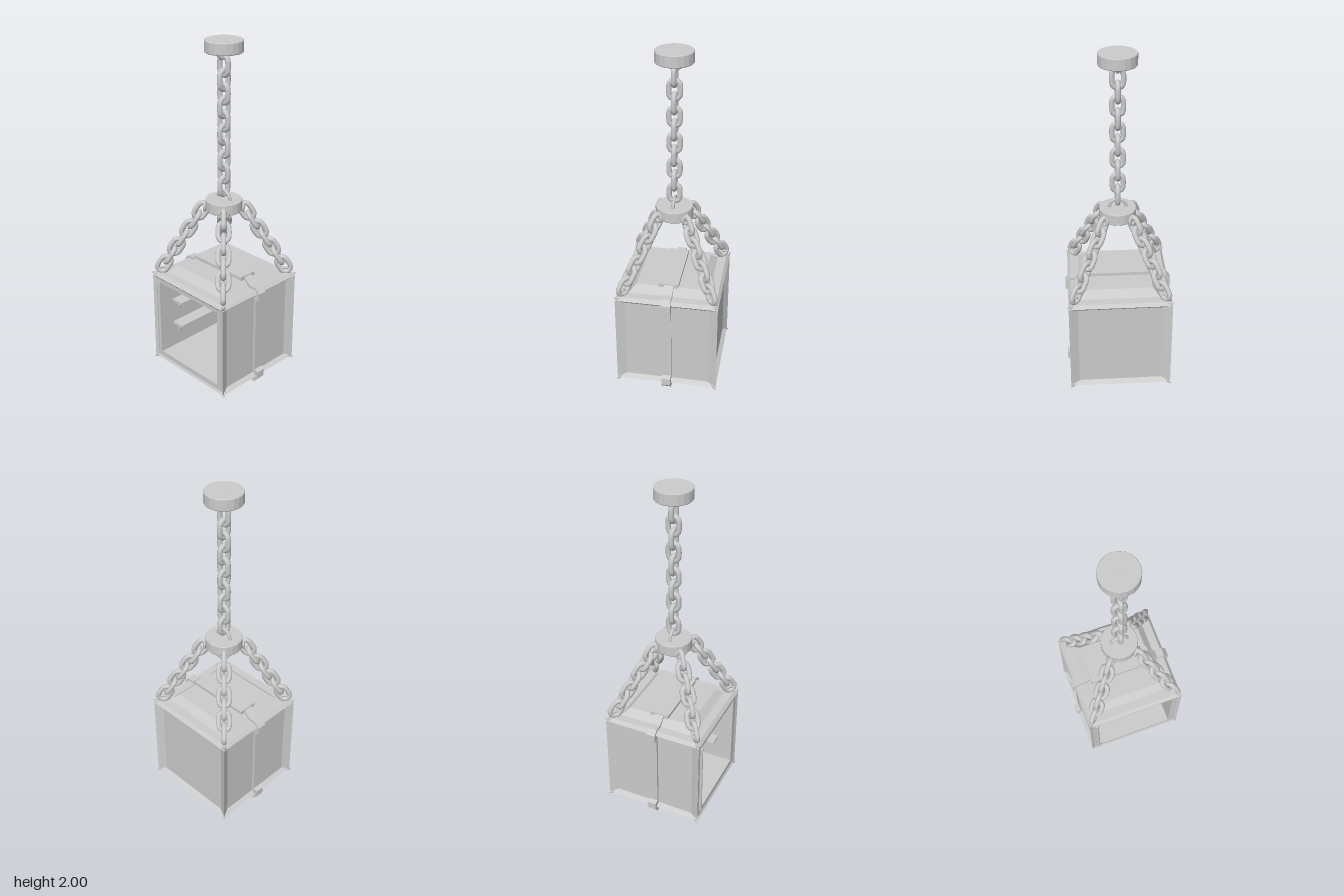
import * as THREE from 'three';

const grey = new THREE.MeshStandardMaterial({ color: 0xcccccc });
const flat = new THREE.MeshStandardMaterial({ color: 0xcccccc, flatShading: true, side: THREE.DoubleSide });

function add(parent, name, geometry, material, x = 0, y = 0, z = 0) {
  const mesh = new THREE.Mesh(geometry, material);
  mesh.name = name;
  mesh.position.set(x, y, z);
  parent.add(mesh);
  return mesh;
}

// Rectangular rings [halfWidth, low, high, depth] joined from the outside in and capped, facing +z
function facePanel(rings) {
  const corners = rings.map(([w, lo, hi, z]) => [[-w, lo, z], [w, lo, z], [w, hi, z], [-w, hi, z]]);
  const pos = [];
  const quad = (a, b, c, d) => pos.push(...a, ...b, ...c, ...a, ...c, ...d);
  for (let r = 0; r < corners.length - 1; r++) {
    const a = corners[r], b = corners[r + 1];
    for (let i = 0; i < 4; i++) quad(a[i], a[(i + 1) % 4], b[(i + 1) % 4], b[i]);
  }
  quad(...corners[corners.length - 1]);
  const g = new THREE.BufferGeometry();
  g.setAttribute('position', new THREE.Float32BufferAttribute(pos, 3));
  g.computeVertexNormals();
  return g;
}

const square = (h, z) => [h, -h, h, z];

function extrudeZ(shape, depth) {
  return new THREE.ExtrudeGeometry(shape, { depth, bevelEnabled: false }).translate(0, 0, -depth / 2);
}

const toShape = (pts) => new THREE.Shape(pts.map(([x, y]) => new THREE.Vector2(x, y)));

// Oval chain link standing in the xy plane
function linkGeometry() {
  const pts = [];
  for (let i = 0; i < 16; i++) {
    const a = ((i + 0.5) / 16) * Math.PI * 2;
    pts.push(new THREE.Vector3(0.03 * Math.cos(a), 0.03 * Math.sin(a) + 0.022 * Math.sign(Math.sin(a)), 0));
  }
  return new THREE.TubeGeometry(new THREE.CatmullRomCurve3(pts, true), 32, 0.0148, 10, true);
}

// Row of links between two points, alternately turned a quarter
function chain(name, from, to, count, side) {
  const group = new THREE.Group();
  group.name = name;
  const up = from.clone().sub(to).normalize();
  const out = new THREE.Vector3().crossVectors(side, up);
  const basis = new THREE.Matrix4().makeBasis(side, up, out);
  const geometry = linkGeometry();
  for (let i = 0; i < count; i++) {
    const link = add(group, 'chainLink', geometry, grey);
    link.position.lerpVectors(from, to, i / (count - 1));
    link.quaternion.setFromRotationMatrix(basis);
    if (i % 2 === 0) link.rotateY(Math.PI / 2);
  }
  return group;
}

export function createModel() {
  const model = new THREE.Group();
  model.name = 'hangingCabinet';
  const box = new THREE.Group();
  box.name = 'cabinet';
  model.add(box);

  // Cabinet faces: recessed sides and back, open front, raised lid, chamfered base
  const rim = [0.297, 0.04, 0.6, 0.297];
  const recessed = facePanel([rim, [0.245, 0.06, 0.577, 0.272]]);
  ['leftPanel', 'backPanel', 'rightPanel'].forEach((name, i) => {
    add(box, name, recessed, flat).rotation.y = (i + 1) * Math.PI / 2;
  });
  add(box, 'frontFrameAndInterior', facePanel([
    rim, [0.277, 0.055, 0.59, 0.29], [0.24, 0.085, 0.565, 0.29], [0.24, 0.085, 0.565, -0.25],
  ]), flat);
  add(box, 'lid', facePanel([
    square(0.297, 0.6), square(0.28, 0.62), square(0.23, 0.62), square(0.19, 0.66),
  ]), flat).rotation.x = -Math.PI / 2;
  add(box, 'base', facePanel([square(0.297, -0.04), square(0.28, -0.027)]), flat).rotation.x = Math.PI / 2;

  // Hinge rod beside the opening
  add(box, 'hingeRod', new THREE.CylinderGeometry(0.01, 0.01, 0.48, 10), grey, -0.25, 0.327, 0.293);

  // Pointed corners
  const spike = new THREE.ConeGeometry(0.019, 0.04, 4);
  for (const x of [-1, 1]) for (const z of [-1, 1]) for (const top of [0, 1]) {
    const dir = new THREE.Vector3(x, top ? 0.8 : -0.8, z).normalize();
    const corner = add(box, 'cornerPoint', spike, flat, x * 0.304, top ? 0.623 : 0.024, z * 0.304);
    corner.position.addScaledVector(dir, -0.02);
    corner.quaternion.setFromUnitVectors(new THREE.Vector3(0, 1, 0), dir);
  }

  // Strap round the cabinet with thicker corners
  const half = [
    [0.285, 0], [0.312, 0.03], [0.312, 0.075], [0.287, 0.085], [0.287, 0.55], [0.312, 0.56],
    [0.312, 0.605], [0.285, 0.634], [0.24, 0.634], [0.195, 0.672],
  ];
  const strap = toShape([...half, ...half.map(([x, y]) => [-x, y]).reverse()]);
  strap.holes.push(toShape([[-0.262, 0.04], [-0.262, 0.6], [0.262, 0.6], [0.262, 0.04]]));
  add(box, 'strap', extrudeZ(strap, 0.054), flat);
  add(box, 'lidPlate', new THREE.BoxGeometry(0.39, 0.022, 0.112), flat, 0, 0.668, 0);

  // Shelf ledges on triangular brackets
  for (const s of [-1, 1]) for (const y of [0.41, 0.25]) {
    add(box, 'shelfLedge', new THREE.BoxGeometry(0.08, 0.016, 0.4), flat, s * 0.2, y, 0);
    const bracket = extrudeZ(toShape([[s * 0.24, 0], [s * 0.18, 0], [s * 0.24, -0.07]]), 0.018);
    for (const z of [-0.15, 0.15]) add(box, 'shelfBracket', bracket, flat, 0, y - 0.006, z);
  }

  // Ceiling cap and gathering disc, with slightly chamfered rims
  const disc = new THREE.LatheGeometry(
    [[0, -0.033], [0.103, -0.033], [0.106, -0.029], [0.106, 0.029], [0.103, 0.033], [0, 0.033]]
      .map(([x, y]) => new THREE.Vector2(x, y)), 20);
  add(model, 'ceilingCap', disc, flat, 0, 1.967, 0);
  add(model, 'gatheringDisc', disc, flat, 0, 1.062, 0);

  // Main chain and its two eyelets
  const eyelet = new THREE.TorusGeometry(0.048, 0.009, 8, 24);
  add(model, 'ceilingEyelet', eyelet, grey, 0, 1.945, 0).rotation.y = Math.PI / 2;
  add(model, 'discEyelet', eyelet, grey, 0, 1.095, 0);
  model.add(chain('mainChain', new THREE.Vector3(0, 1.86, 0), new THREE.Vector3(0, 1.172, 0), 10,
    new THREE.Vector3(0, 0, -1)));

  // Four corner chains with small eyelets at both ends
  const smallEyelet = new THREE.TorusGeometry(0.024, 0.008, 8, 18);
  for (const x of [-1, 1]) for (const z of [-1, 1]) {
    const side = new THREE.Vector3(z, 0, -x).normalize();
    model.add(chain('cornerChain', new THREE.Vector3(x * 0.092, 1.02, z * 0.092),
      new THREE.Vector3(x * 0.248, 0.675, z * 0.248), 7, side));
    for (const [r, y] of [[0.078, 1.045], [0.256, 0.63]]) {
      add(model, 'chainEyelet', smallEyelet, grey, x * r, y, z * r).rotation.y = Math.atan2(x, z) + (y > 1 ? 0 : Math.PI / 2);
    }
  }
  return model;
}
